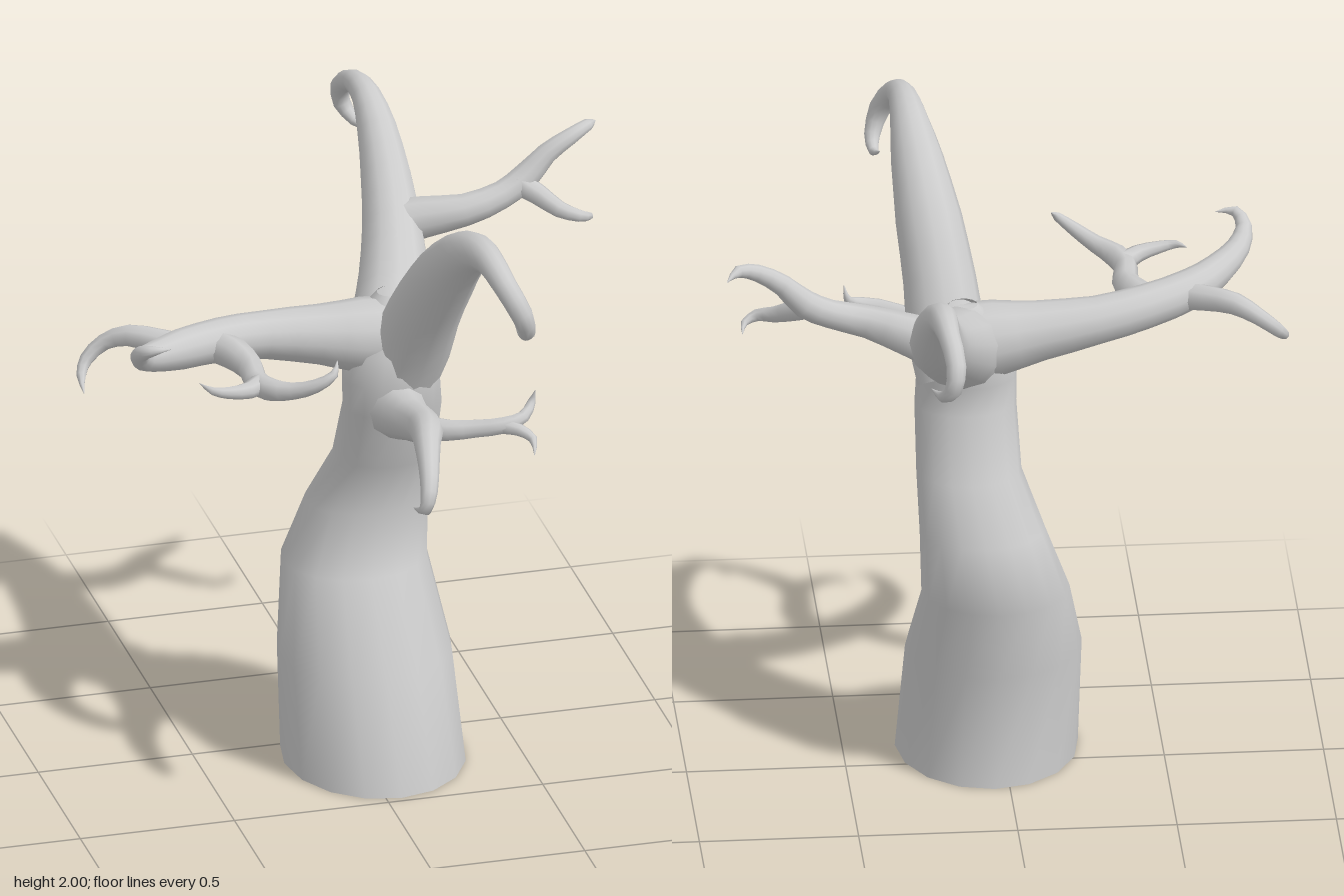
import * as THREE from 'three';
import { mergeVertices } from 'three/addons/utils/BufferGeometryUtils.js';

const bark = new THREE.MeshStandardMaterial({ color: 0xcccccc, side: THREE.DoubleSide });

// Weld seams so the shading runs smoothly round the wood.
function smooth(geometry) {
  geometry.deleteAttribute('uv');
  geometry.deleteAttribute('normal');
  const welded = mergeVertices(geometry, 1e-5);
  welded.computeVertexNormals();
  return welded;
}

// Tapering limb; each point is [x, y, z, radius].
function limb(name, points, sides = 10) {
  const curve = new THREE.CatmullRomCurve3(points.map(([x, y, z]) => new THREE.Vector3(x, y, z)));
  curve.getPointAt = (t, target) => curve.getPoint(t, target);
  curve.getTangentAt = (t, target) => curve.getTangent(t, target);
  const spans = points.length - 1;
  const segments = spans * 2;
  const geometry = new THREE.TubeGeometry(curve, segments, 1, sides);
  const pos = geometry.attributes.position;
  const normal = geometry.attributes.normal;
  const centre = new THREE.Vector3();
  for (let i = 0; i < pos.count; i++) {
    const t = Math.floor(i / (sides + 1)) / segments;
    const k = Math.min(Math.floor(t * spans), spans - 1);
    const r = THREE.MathUtils.lerp(points[k][3], points[k + 1][3], t * spans - k);
    curve.getPoint(t, centre);
    pos.setXYZ(i, centre.x + normal.getX(i) * r, centre.y + normal.getY(i) * r, centre.z + normal.getZ(i) * r);
  }
  const mesh = new THREE.Mesh(smooth(geometry), bark);
  mesh.name = name;
  return mesh;
}

// Leaning trunk, open at the base; rows are [y, xMin, xMax, zMin, zMax] from the top down.
function trunk() {
  const rows = [
    [1.56, 0.08, 0.17, 0.03, 0.11],
    [1.5, 0.02, 0.24, -0.02, 0.18],
    [1.4, -0.03, 0.265, -0.02, 0.245],
    [1.3, -0.045, 0.27, -0.015, 0.245],
    [1.2, -0.045, 0.275, -0.003, 0.24],
    [1.0, -0.055, 0.275, -0.095, 0.18],
    [0.82, -0.125, 0.27, -0.18, 0.125],
    [0.62, -0.2, 0.265, -0.24, 0.18],
    [0.36, -0.25, 0.305, -0.155, 0.38],
    [0, -0.24, 0.335, -0.2, 0.48],
  ];
  const sides = 16;
  const geometry = new THREE.CylinderGeometry(1, 1, 1, sides, rows.length - 1, true);
  const pos = geometry.attributes.position;
  for (let i = 0; i < pos.count; i++) {
    const [y, x0, x1, z0, z1] = rows[Math.floor(i / (sides + 1))];
    pos.setXYZ(i, (x0 + x1) / 2 + pos.getX(i) * (x1 - x0) / 2, y, (z0 + z1) / 2 + pos.getZ(i) * (z1 - z0) / 2);
  }
  const mesh = new THREE.Mesh(smooth(geometry), bark);
  mesh.name = 'trunk';
  return mesh;
}

export function createModel() {
  const tree = new THREE.Group();
  tree.name = 'bareTree';
  tree.add(trunk());

  // Tall front branch with a curled end
  tree.add(limb('frontBranch', [
    [0.14, 1.3, 0.1, 0.13], [0.17, 1.42, 0.16, 0.125], [0.185, 1.56, 0.245, 0.115], [0.21, 1.72, 0.36, 0.105],
    [0.235, 1.86, 0.5, 0.083], [0.25, 1.935, 0.63, 0.06], [0.26, 1.957, 0.75, 0.045],
    [0.28, 1.92, 0.86, 0.038], [0.32, 1.84, 0.91, 0.035], [0.345, 1.765, 0.885, 0.026],
    [0.345, 1.735, 0.825, 0.016], [0.33, 1.755, 0.78, 0.001],
  ], 12));

  // Back branch with a curled end
  tree.add(limb('backBranch', [
    [0.12, 1.4, 0.08, 0.13], [0.15, 1.445, 0.0, 0.128], [0.19, 1.51, -0.13, 0.112], [0.23, 1.6, -0.3, 0.095],
    [0.25, 1.71, -0.45, 0.08], [0.255, 1.81, -0.57, 0.064], [0.25, 1.875, -0.68, 0.047],
    [0.24, 1.875, -0.8, 0.035], [0.225, 1.815, -0.895, 0.032], [0.235, 1.745, -0.915, 0.028],
    [0.265, 1.7, -0.87, 0.018], [0.295, 1.695, -0.8, 0.001],
  ], 12));

  // Forked twig on the back branch
  tree.add(limb('backTwig', [
    [0.22, 1.6, -0.31, 0.08], [0.32, 1.63, -0.28, 0.068], [0.45, 1.66, -0.235, 0.052], [0.57, 1.695, -0.24, 0.045],
    [0.65, 1.74, -0.255, 0.045], [0.72, 1.81, -0.26, 0.034], [0.8, 1.858, -0.265, 0.027],
    [0.86, 1.877, -0.29, 0.02], [0.9, 1.865, -0.34, 0.001],
  ]));
  tree.add(limb('backTwigFork', [
    [0.62, 1.73, -0.25, 0.04], [0.68, 1.695, -0.21, 0.034], [0.735, 1.66, -0.16, 0.027],
    [0.79, 1.645, -0.13, 0.02], [0.83, 1.63, -0.15, 0.012], [0.84, 1.615, -0.2, 0.001],
  ], 8));

  // Level branch on the right, curling forward
  tree.add(limb('rightBranch', [
    [0.14, 1.42, 0.09, 0.125], [0.02, 1.43, 0.09, 0.12], [-0.12, 1.45, 0.09, 0.095], [-0.3, 1.475, 0.1, 0.076],
    [-0.45, 1.495, 0.14, 0.07], [-0.6, 1.515, 0.215, 0.064], [-0.69, 1.54, 0.29, 0.052],
    [-0.76, 1.575, 0.37, 0.039], [-0.785, 1.62, 0.43, 0.026], [-0.76, 1.65, 0.48, 0.017],
    [-0.7, 1.65, 0.48, 0.001],
  ], 12));
  tree.add(limb('rightRearTwig', [
    [-0.55, 1.5, 0.21, 0.05], [-0.65, 1.515, 0.14, 0.042], [-0.73, 1.52, 0.085, 0.036],
    [-0.8, 1.49, 0.05, 0.027], [-0.86, 1.44, 0.055, 0.022], [-0.885, 1.405, 0.09, 0.016],
    [-0.895, 1.375, 0.16, 0.001],
  ], 8));
  tree.add(limb('rightFrontTwig', [
    [-0.48, 1.49, 0.15, 0.055], [-0.43, 1.49, 0.24, 0.052], [-0.405, 1.485, 0.34, 0.042],
    [-0.415, 1.485, 0.44, 0.038], [-0.39, 1.49, 0.52, 0.038], [-0.33, 1.505, 0.58, 0.028],
    [-0.27, 1.535, 0.625, 0.022], [-0.215, 1.575, 0.64, 0.014], [-0.195, 1.605, 0.605, 0.001],
  ], 8));
  tree.add(limb('rightFrontTwigFork', [
    [-0.41, 1.49, 0.47, 0.034], [-0.46, 1.495, 0.52, 0.028], [-0.53, 1.505, 0.54, 0.02],
    [-0.58, 1.515, 0.535, 0.013], [-0.61, 1.525, 0.49, 0.001],
  ], 8));

  // Low front branch with its end hooked down
  tree.add(limb('lowBranch', [
    [0.11, 1.2, 0.1, 0.12], [0.11, 1.215, 0.22, 0.09], [0.115, 1.24, 0.34, 0.067], [0.12, 1.27, 0.45, 0.058],
    [0.11, 1.295, 0.55, 0.053], [0.085, 1.3, 0.65, 0.042], [0.06, 1.275, 0.76, 0.033],
    [0.04, 1.225, 0.835, 0.027], [0.025, 1.17, 0.845, 0.02], [0.005, 1.15, 0.78, 0.001],
  ]));
  tree.add(limb('lowTwig', [
    [0.11, 1.27, 0.47, 0.045], [0.19, 1.28, 0.53, 0.035], [0.27, 1.29, 0.56, 0.03],
    [0.35, 1.305, 0.59, 0.028], [0.415, 1.325, 0.585, 0.02], [0.45, 1.355, 0.55, 0.013],
    [0.46, 1.4, 0.56, 0.001],
  ], 8));
  tree.add(limb('lowTwigFork', [
    [0.34, 1.3, 0.585, 0.025], [0.39, 1.3, 0.625, 0.02], [0.425, 1.28, 0.66, 0.014], [0.415, 1.25, 0.715, 0.001],
  ], 8));

  return tree;
}
